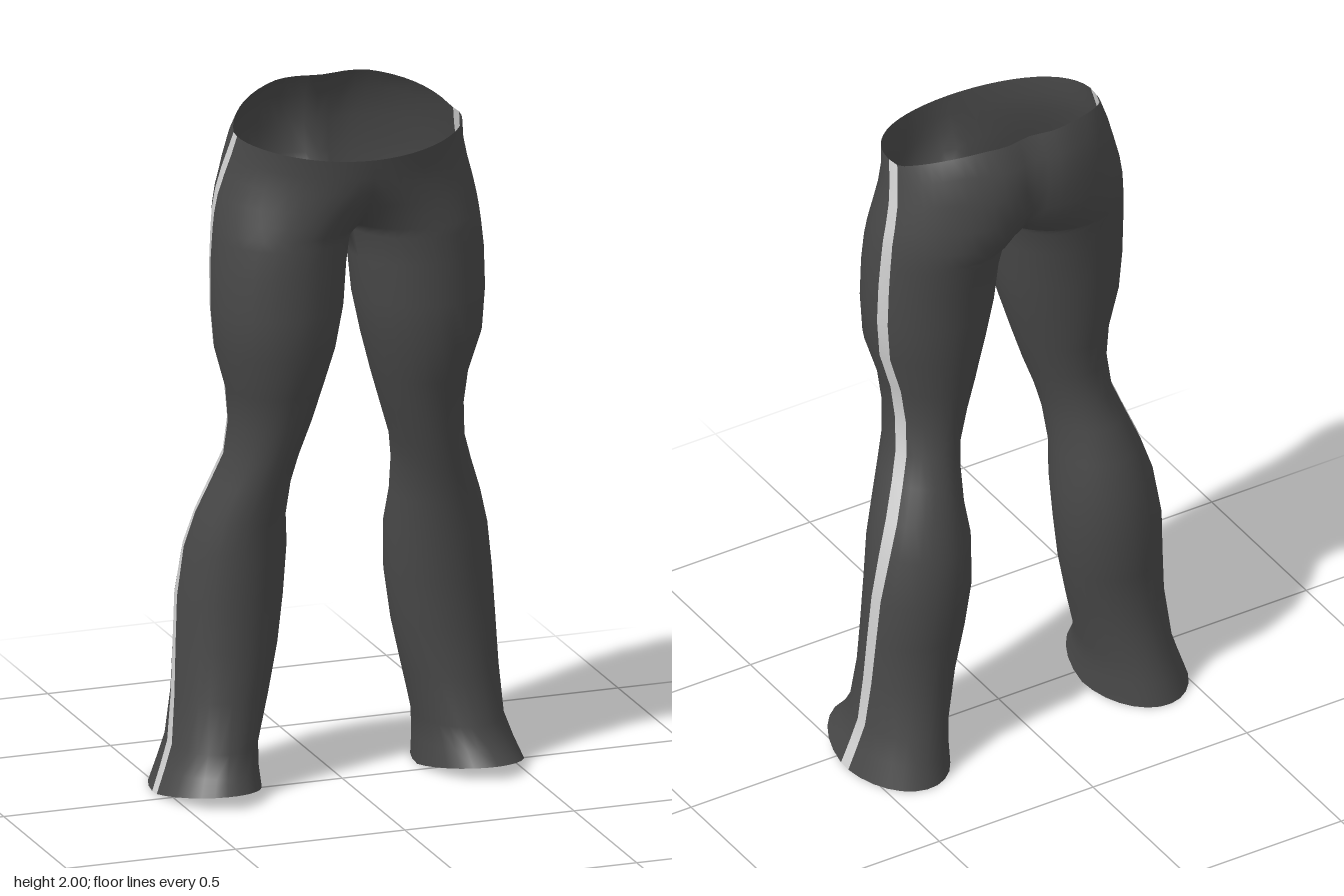
import * as THREE from 'three';
import { mergeVertices } from 'three/addons/utils/BufferGeometryUtils.js';

// Cross-sections of one leg: height, inner x, outer x, front z, back z, stripe z.
// A negative inner x means the leg has merged with its mirror image at the hips.
const SECTIONS = [
  [0, 0.24, 0.535, 0.17, -0.27, -0.055],
  [0.07, 0.243, 0.51, 0.135, -0.25, -0.06],
  [0.14, 0.24, 0.487, 0.105, -0.233, -0.065],
  [0.28, 0.205, 0.475, 0.082, -0.205, -0.075],
  [0.42, 0.175, 0.468, 0.077, -0.21, -0.085],
  [0.56, 0.157, 0.46, 0.078, -0.222, -0.095],
  [0.7, 0.152, 0.44, 0.09, -0.207, -0.1],
  [0.8, 0.162, 0.412, 0.1, -0.178, -0.088],
  [0.9, 0.158, 0.375, 0.12, -0.145, -0.06],
  [0.98, 0.143, 0.348, 0.137, -0.115, -0.036],
  [1.08, 0.11, 0.34, 0.158, -0.108, -0.02],
  [1.18, 0.08, 0.35, 0.182, -0.118, -0.013],
  [1.3, 0.047, 0.385, 0.22, -0.135, -0.01],
  [1.42, 0.022, 0.395, 0.226, -0.146, -0.013],
  [1.54, 0.012, 0.393, 0.226, -0.158, -0.018],
  [1.62, 0, 0.386, 0.227, -0.175, -0.02],
  [1.65, -0.03, 0.383, 0.228, -0.185, -0.021],
  [1.69, -0.08, 0.378, 0.23, -0.2, -0.021],
  [1.74, -0.16, 0.368, 0.237, -0.214, -0.02],
  [1.8, -0.26, 0.352, 0.249, -0.221, -0.01],
  [1.86, -0.32, 0.338, 0.26, -0.215, 0.008],
  [1.92, -0.328, 0.328, 0.27, -0.183, 0.028],
];
const PANEL = 13; // columns in the front panel and in the back panel
const STRIPE_HALF = 0.019;

// Points of one section, from the inner front seam round the outside to the inner back seam
function ring([y, xi, xo, zf, zb, zs], side) {
  const cx = (xi + xo) / 2, a = (xo - xi) / 2;
  const cz = (zf + zb) / 2, d = (zf - zb) / 2;
  const seam = Math.PI - Math.acos(Math.min(1, cx / a));
  const start = xi < 0 ? seam : Math.PI;
  const edgeF = Math.asin((zs + STRIPE_HALF - cz) / d);
  const edgeB = Math.asin((zs - STRIPE_HALF - cz) / d);
  const angles = [];
  for (let i = 0; i <= PANEL; i++) angles.push(start + (edgeF - start) * i / PANEL);
  for (let i = 0; i <= PANEL; i++) angles.push(edgeB + (-start - edgeB) * i / PANEL);

  const waist = THREE.MathUtils.smoothstep(y, 1.64, 1.9);
  return angles.map((t) => {
    const x = Math.max(0, cx + a * Math.cos(t));
    let z = cz + d * Math.sin(t), h = y;
    // waistband dips at the front and rises at the back
    h += waist * (z > 0 ? -0.04 * (z / 0.27) ** 2 : 0.08 * Math.min(1, -z / 0.165));
    // seat cleft
    if (z < 0) z += 0.022 * waist * Math.exp(-((x / 0.06) ** 2));
    // hem lifts over the foot
    if (y < 0.1) h += (1 - y / 0.1) * 0.04 * Math.max(0, (z + 0.05) / 0.22);
    return [side * x, h, z];
  });
}

export function createModel() {
  const cloth = new THREE.MeshStandardMaterial({ color: 0x484848, side: THREE.DoubleSide });
  cloth.name = 'charcoalCloth';
  const stripe = new THREE.MeshStandardMaterial({ color: 0xd0d0d0, side: THREE.DoubleSide });
  stripe.name = 'paleStripe';

  const positions = [], clothFaces = [], stripeFaces = [];
  const cols = 2 * PANEL + 2;
  for (const side of [1, -1]) {
    const base = positions.length / 3;
    for (const s of SECTIONS) for (const p of ring(s, side)) positions.push(...p);
    for (let r = 0; r < SECTIONS.length - 1; r++) {
      for (let c = 0; c < cols - 1; c++) {
        const p = base + r * cols + c, q = p + cols;
        const faces = c === PANEL ? stripeFaces : clothFaces;
        if (side > 0) faces.push(p, p + 1, q, p + 1, q + 1, q);
        else faces.push(p, q, p + 1, p + 1, q, q + 1);
      }
    }
  }

  // Weld the seams so the shading runs smoothly over both legs
  let geo = new THREE.BufferGeometry();
  geo.setAttribute('position', new THREE.Float32BufferAttribute(positions, 3));
  geo.setIndex([...clothFaces, ...stripeFaces]);
  geo = mergeVertices(geo, 1e-4);
  geo.computeVertexNormals();
  geo.clearGroups();
  geo.addGroup(0, clothFaces.length, 0);
  geo.addGroup(clothFaces.length, stripeFaces.length, 1);

  const trousers = new THREE.Mesh(geo, [cloth, stripe]);
  trousers.name = 'trousersWithSideStripes';
  const group = new THREE.Group();
  group.name = 'trousers';
  group.add(trousers);
  return group;
}
